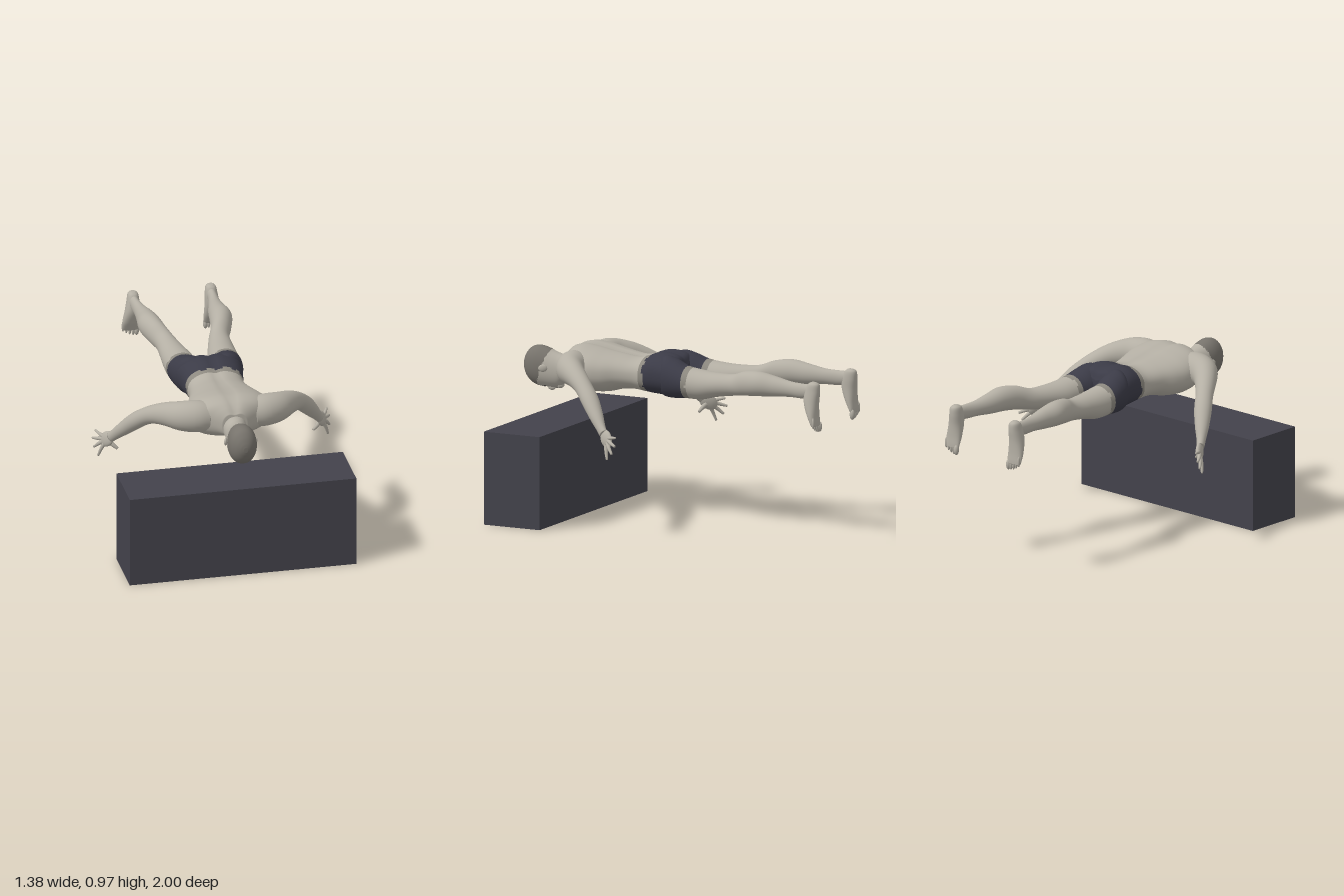
import * as THREE from 'three';

const make = (name, color) => Object.assign(new THREE.MeshStandardMaterial({ color }), { name });
const X = new THREE.Vector3(1, 0, 0), Y = new THREE.Vector3(0, 1, 0), Z = new THREE.Vector3(0, 0, 1);

// Smooth body from rows [x, y, z, radiusSide, radiusUp].
// With an axis every ring is square to it, otherwise rings follow the path.
function loft(rows, { axis = null, sides = 40, steps = 8, power = 1, shape = null, slot = () => 0 } = {}) {
  const path = new THREE.CatmullRomCurve3(rows.map(r => new THREE.Vector3(r[0], r[1], r[2])), false, 'catmullrom');
  const size = new THREE.CatmullRomCurve3(rows.map(r => new THREE.Vector3(r[3], r[4], 0)), false, 'catmullrom');
  const n = (rows.length - 1) * steps;
  const pos = [], buckets = [];
  const bend = a => Math.sign(a) * Math.abs(a) ** power;
  for (let k = -1; k <= n + 1; k++) {
    const u = Math.min(Math.max(k / n, 0), 1), closed = k < 0 || k > n;
    const p = path.getPoint(u), r = size.getPoint(u);
    const t = axis ?? path.getTangent(u);
    const side = axis ? X : new THREE.Vector3().crossVectors(Y, t).normalize();
    const up = new THREE.Vector3().crossVectors(t, side).normalize();
    for (let j = 0; j < sides; j++) {
      const a = (j / sides) * Math.PI * 2, f = closed ? 0 : 1;
      const v = p.clone()
        .addScaledVector(side, bend(Math.cos(a)) * Math.max(r.x, 0.001) * f)
        .addScaledVector(up, bend(Math.sin(a)) * Math.max(r.y, 0.001) * f);
      if (shape) shape(v);
      pos.push(v.x, v.y, v.z);
    }
  }
  for (let k = 0; k < n + 2; k++) for (let j = 0; j < sides; j++) {
    const a = k * sides + j, b = k * sides + (j + 1) % sides, c = b + sides, d = a + sides;
    const mid = [0, 1, 2].map(i => (pos[a * 3 + i] + pos[b * 3 + i] + pos[c * 3 + i] + pos[d * 3 + i]) / 4);
    const list = (buckets[slot(...mid)] ??= []);
    if (k > 0) list.push(a, b, c);
    if (k === 0) list.push(a, c, d);
    else if (k < n + 1) list.push(a, c, d);
  }
  const g = new THREE.BufferGeometry();
  g.setAttribute('position', new THREE.Float32BufferAttribute(pos, 3));
  const index = [];
  buckets.forEach((list, m) => {
    g.addGroup(index.length, list.length, m);
    for (const i of list) index.push(i);
  });
  g.setIndex(index);
  g.computeVertexNormals();
  return g;
}

// Section given by its position along z and its top and bottom heights
const slice = ([z, x, top, bottom, rx]) => [x, (top + bottom) / 2, z, rx, (top - bottom) / 2];

export function createModel() {
  const root = new THREE.Group();
  const skin = make('skin', 0xb4afa4), hair = make('cap grey', 0x77736c), band = make('hem grey', 0x8d8980);
  const cloth = make('dark cloth', 0x3b3b47), block = make('block', 0x43424b), eyeDark = make('eye', 0x3a3835);
  const add = (name, geometry, material, parent = root) => {
    const m = new THREE.Mesh(geometry, material);
    m.name = name;
    parent.add(m);
    return m;
  };
  const ball = (name, at, scale, material, parent) => {
    const m = add(name, new THREE.SphereGeometry(1, 20, 14), material, parent);
    m.position.set(...at);
    m.scale.set(...scale);
    return m;
  };

  // Block
  add('block', new THREE.BoxGeometry(1.31, 0.535, 0.355), block).position.set(0, 0.2675, 0.7425);

  const clothes = [skin, band, cloth];
  const wave = (x, y) => 0.005 * Math.sin(x * 70) * Math.cos(y * 50);

  // Torso with a groove along the spine, waistband and seat of the shorts
  const torso = [
    [-0.035, 0, 0.90, 0.76, 0.12], [0, 0, 0.95, 0.725, 0.19], [0.1, 0, 0.966, 0.72, 0.18],
    [0.2, 0, 0.935, 0.728, 0.162], [0.26, 0, 0.926, 0.735, 0.165], [0.34, 0, 0.935, 0.73, 0.185],
    [0.42, 0, 0.947, 0.71, 0.218], [0.5, 0, 0.962, 0.705, 0.24], [0.58, 0, 0.972, 0.718, 0.235],
    [0.64, 0, 0.962, 0.745, 0.19], [0.68, 0, 0.94, 0.76, 0.12], [0.71, 0, 0.91, 0.765, 0.07],
  ].map(slice);
  add('torso', loft(torso, {
    axis: Z, sides: 56, power: 0.85,
    shape: v => { if (v.y > 0.84) v.y -= 0.012 * Math.exp(-((v.x / 0.025) ** 2)); },
    slot: (x, y, z) => { const h = z + wave(x, y); return h > 0.2 ? 0 : h > 0.17 ? 1 : 2; },
  }), clothes);

  // Head and neck, with a close cap over the crown
  const head = [
    [0.64, 0, 0.92, 0.77, 0.09], [0.69, 0, 0.9, 0.752, 0.072], [0.735, 0, 0.882, 0.728, 0.064],
    [0.77, 0, 0.885, 0.698, 0.066], [0.81, 0, 0.897, 0.69, 0.072], [0.85, 0, 0.913, 0.69, 0.078],
    [0.9, 0, 0.924, 0.692, 0.081], [0.945, 0, 0.915, 0.71, 0.074], [0.975, 0, 0.887, 0.74, 0.055],
    [0.992, 0, 0.855, 0.775, 0.032], [0.999, 0, 0.83, 0.8, 0.012],
  ].map(slice);
  add('head', loft(head, {
    axis: Z, sides: 48, power: 0.95, slot: (x, y, z) => (z > 0.822 + (0.92 - y) * 0.36 ? 1 : 0),
  }), [skin, hair]);
  const face = new THREE.Group();
  face.name = 'face';
  root.add(face);
  ball('nose', [0, 0.69, 0.83], [0.013, 0.02, 0.024], skin, face);
  ball('lips', [0, 0.692, 0.795], [0.022, 0.008, 0.008], band, face);
  ball('chin', [0, 0.702, 0.772], [0.03, 0.015, 0.016], skin, face);

  for (const s of [1, -1]) {
    const sideName = s > 0 ? 'left' : 'right';
    const flip = rows => rows.map(([x, ...rest]) => [x * s, ...rest]);

    ball(sideName + 'Eye', [s * 0.03, 0.7, 0.857], [0.012, 0.006, 0.006], eyeDark, face);
    const ear = ball(sideName + 'Ear', [s * 0.083, 0.808, 0.845], [0.009, 0.021, 0.026], skin, face);
    ear.rotation.y = s * 0.4;

    // Leg from hip to ankle
    const leg = flip([
      [0.07, 0.085, 0.95, 0.73, 0.08], [0.03, 0.1, 0.957, 0.722, 0.095], [-0.03, 0.109, 0.94, 0.722, 0.099],
      [-0.1, 0.122, 0.913, 0.73, 0.093], [-0.2, 0.127, 0.9, 0.732, 0.088], [-0.3, 0.138, 0.895, 0.757, 0.075],
      [-0.41, 0.153, 0.9, 0.776, 0.06], [-0.5, 0.184, 0.93, 0.79, 0.06], [-0.6, 0.205, 0.94, 0.8, 0.065],
      [-0.7, 0.207, 0.924, 0.806, 0.053], [-0.8, 0.214, 0.905, 0.815, 0.037],
      [-0.88, 0.222, 0.9, 0.815, 0.029], [-0.95, 0.225, 0.9, 0.825, 0.028],
    ].map(slice));
    add(sideName + 'Leg', loft(leg, {
      axis: Z.clone().negate(),
      slot: (x, y, z) => { const h = z + wave(x, y); return h > -0.1 ? 2 : h > -0.132 ? 1 : 0; },
    }), clothes);

    // Foot hanging down from the heel
    add(sideName + 'Foot', loft(flip([
      [0.225, 0.915, -0.957, 0.014, 0.016], [0.225, 0.9, -0.957, 0.029, 0.035], [0.226, 0.86, -0.95, 0.036, 0.045],
      [0.231, 0.8, -0.947, 0.042, 0.043], [0.235, 0.735, -0.958, 0.049, 0.031],
      [0.236, 0.69, -0.971, 0.05, 0.02], [0.236, 0.668, -0.977, 0.047, 0.014],
    ]), { axis: Y.clone().negate(), sides: 28, power: 0.9 }), skin);
    const toes = new THREE.Group();
    toes.name = sideName + 'Toes';
    root.add(toes);
    for (let i = 0; i < 5; i++) {
      const r = i === 0 ? 0.014 : 0.0095 - i * 0.0004;
      const x = s * (0.199 + i * 0.0195), y = 0.658 + i * i * 0.0018;
      ball('toe', [x, y, -0.981], [r, 0.03, r * 1.1], skin, toes);
    }

    // Arm from shoulder to wrist
    add(sideName + 'Arm', loft(flip([
      [0.13, 0.855, 0.595, 0.08, 0.085], [0.2, 0.86, 0.592, 0.088, 0.092], [0.275, 0.858, 0.568, 0.08, 0.086],
      [0.345, 0.848, 0.508, 0.066, 0.07], [0.4, 0.825, 0.445, 0.056, 0.056], [0.445, 0.79, 0.388, 0.05, 0.049],
      [0.492, 0.735, 0.326, 0.05, 0.048], [0.543, 0.665, 0.262, 0.04, 0.04],
      [0.582, 0.61, 0.213, 0.027, 0.031], [0.605, 0.578, 0.182, 0.022, 0.03],
    ]), { sides: 32 }), skin);

    // Spread hand
    const hand = new THREE.Group();
    hand.name = sideName + 'Hand';
    root.add(hand);
    const palm = new THREE.Vector3(s * 0.62, 0.557, 0.158);
    const along = new THREE.Vector3(s * 0.08, -0.1, -0.11).normalize();
    const across = new THREE.Vector3(0, 0.135, -0.055);
    across.addScaledVector(along, -across.dot(along)).normalize();
    const out = new THREE.Vector3().crossVectors(along, across);
    ball('palm', palm.toArray(), [0.057, 0.043, 0.019], skin, hand)
      .quaternion.setFromRotationMatrix(new THREE.Matrix4().makeBasis(along, across, out));
    const tips = [
      [0.668, 0.577, 0.074, 0.0095], [0.684, 0.53, 0.071, 0.0105], [0.68, 0.483, 0.092, 0.0105],
      [0.664, 0.445, 0.13, 0.01], [0.565, 0.505, 0.19, 0.012],
    ];
    tips.forEach(([x, y, z, r], i) => {
      const tip = new THREE.Vector3(s * x, y, z);
      const [a, b, c] = [0.2, 0.6, 1].map(t => palm.clone().lerp(tip, t));
      b.addScaledVector(out, s * 0.004);
      add(i === 4 ? 'thumb' : 'finger', loft([
        [...a.toArray(), r * 1.3, r * 1.3], [...b.toArray(), r, r], [...c.toArray(), r * 0.65, r * 0.65],
      ], { sides: 12, steps: 5 }), skin, hand);
    });
  }
  return root;
}
